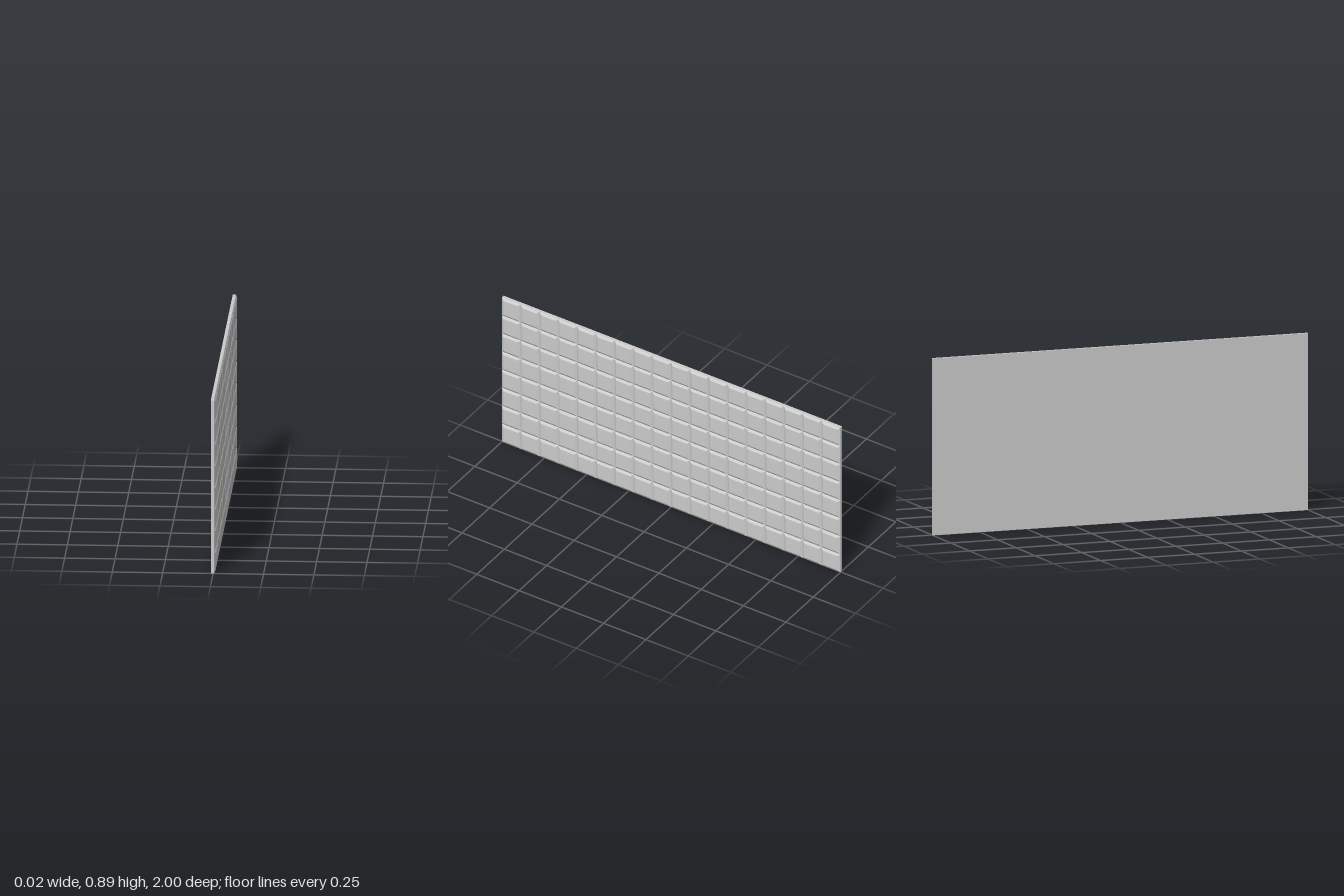
import * as THREE from 'three';

const COLS = 18, ROWS = 8;
const PITCH = 2 / COLS;
const HEIGHT = ROWS * PITCH;
const BACK = -0.0115, SEAM = 0.004, FACE = 0.0115; // depths along x
const BEVEL = 0.013;

// Square tile whose outer (+x) face is drawn in to leave four sloping edges
function tileGeometry() {
  const box = new THREE.BoxGeometry(FACE - SEAM, PITCH, PITCH);
  const p = box.attributes.position;
  const k = 1 - (2 * BEVEL) / PITCH;
  for (let i = 0; i < p.count; i++) {
    if (p.getX(i) > 0) {
      p.setY(i, p.getY(i) * k);
      p.setZ(i, p.getZ(i) * k);
    }
  }
  box.computeVertexNormals();
  return box;
}

export function createModel() {
  const model = new THREE.Group();
  model.name = 'tiledWallPanel';
  const material = new THREE.MeshStandardMaterial({ color: 0xcccccc, flatShading: true });

  // Flat backing slab
  const slab = new THREE.Mesh(new THREE.BoxGeometry(SEAM - BACK, HEIGHT, 2), material);
  slab.name = 'backingSlab';
  slab.position.set((BACK + SEAM) / 2, HEIGHT / 2, 0);
  model.add(slab);

  // Grid of bevelled tiles on the +x side
  const tiles = new THREE.Group();
  tiles.name = 'tiles';
  const geometry = tileGeometry();
  for (let row = 0; row < ROWS; row++) {
    for (let col = 0; col < COLS; col++) {
      const tile = new THREE.Mesh(geometry, material);
      tile.name = 'tile';
      tile.position.set((SEAM + FACE) / 2, (row + 0.5) * PITCH, -1 + (col + 0.5) * PITCH);
      tiles.add(tile);
    }
  }
  model.add(tiles);
  return model;
}
